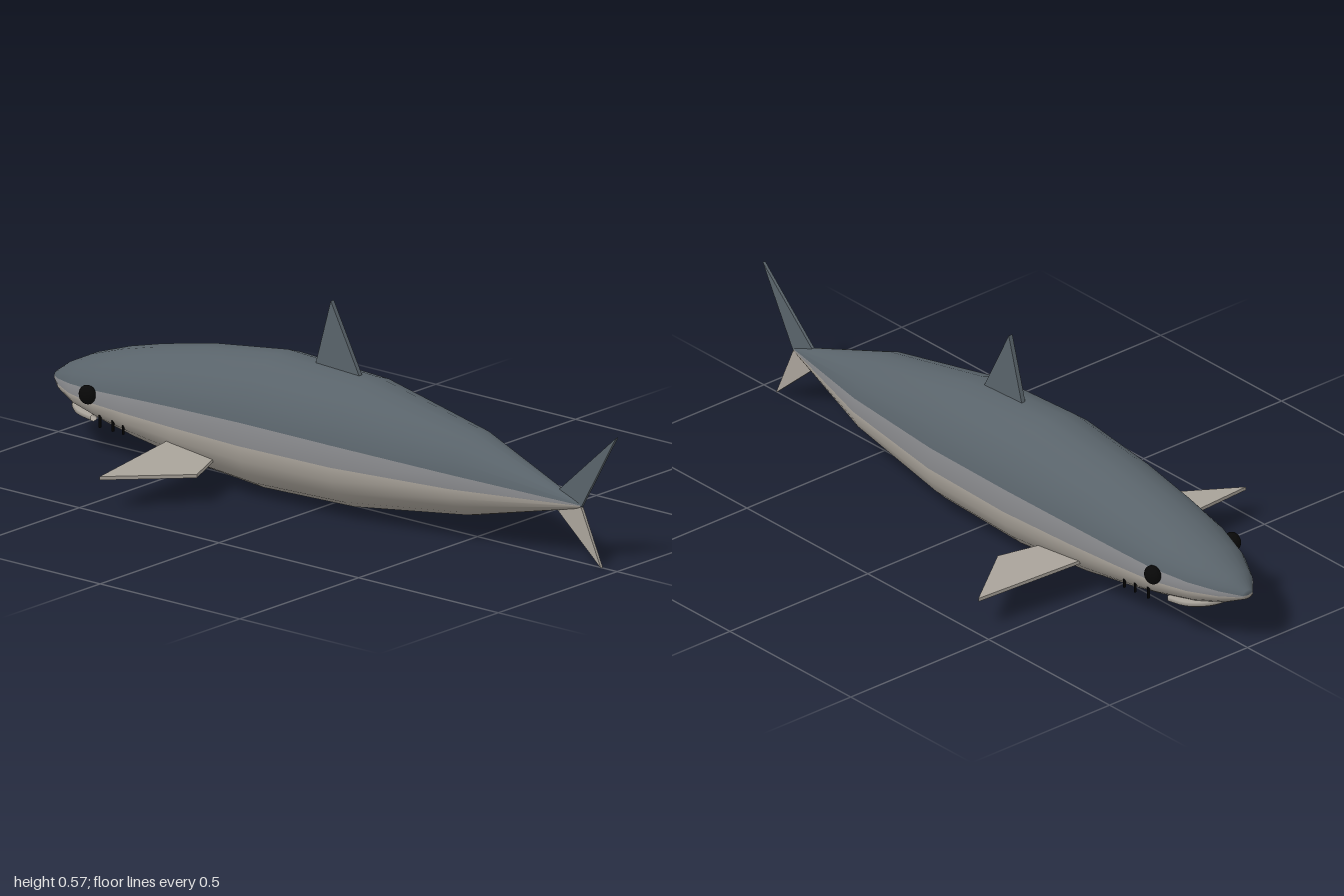
import * as THREE from 'three';

const paint = (color) => new THREE.MeshStandardMaterial({ color, side: THREE.DoubleSide });
const slate = paint(0x59636a), flankGrey = paint(0x86878a), pale = paint(0xa9a39a), black = paint(0x080808);

const AXIS_Y = 0.162; // height of the line from snout to tail
const SIDES = 22;
// Stations along the body: z, half width, height above axis, depth below axis
const STATIONS = [
  [-1, 0, 0, 0],
  [-1, 0.02, 0.016, 0.01],
  [-0.95, 0.065, 0.051, 0.034],
  [-0.87, 0.11, 0.09, 0.058],
  [-0.76, 0.143, 0.127, 0.08],
  [-0.64, 0.157, 0.158, 0.106],
  [-0.46, 0.172, 0.195, 0.136],
  [-0.2, 0.186, 0.229, 0.158],
  [0.12, 0.176, 0.215, 0.149],
  [0.5, 0.116, 0.14, 0.098],
  [0.87, 0.005, 0.008, 0.008],
  [0.87, 0, 0, 0],
];

function add(group, name, geometry, material) {
  const mesh = new THREE.Mesh(geometry, material);
  mesh.name = name;
  group.add(mesh);
  return mesh;
}

// Flat slab from an outline, centred on its own plane
function slab(points, thickness) {
  const shape = new THREE.Shape(points.map(([a, b]) => new THREE.Vector2(a, b)));
  const geometry = new THREE.ExtrudeGeometry(shape, { depth: thickness, bevelEnabled: false });
  return geometry.translate(0, 0, -thickness / 2);
}

// Upright fin from a (z, y) outline
const uprightFin = (points, thickness) => slab(points, thickness).rotateY(-Math.PI / 2);

// Side fin from an (x, z) outline, sloping down outward and rearward
function pectoralFin(side) {
  const outline = [[0.1, -0.488], [0.485, -0.44], [0.27, -0.275], [0.1, -0.335]];
  const geometry = slab(outline.map(([x, z]) => [x * side, z]), 0.01).rotateX(Math.PI / 2);
  const p = geometry.attributes.position;
  for (let i = 0; i < p.count; i++) {
    p.setY(i, p.getY(i) + 0.059 - 0.034 * Math.abs(p.getX(i)) - 0.113 * p.getZ(i));
  }
  geometry.computeVertexNormals();
  return geometry;
}

// Lofted body, split lengthwise into colour bands that share smooth normals
function buildBody(group) {
  const positions = [], all = [];
  const bands = { back: [], flanks: [], belly: [] };
  for (const [z, w, up, down] of STATIONS) {
    for (let j = 0; j < SIDES; j++) {
      const a = (j / SIDES) * Math.PI * 2;
      const s = Math.sin(a);
      positions.push(w * Math.cos(a), AXIS_Y + s * (s > 0 ? up : down), z);
    }
  }
  const half = SIDES / 2;
  for (let i = 0; i < STATIONS.length - 1; i++) {
    for (let j = 0; j < SIDES; j++) {
      const k = (j + 1) % SIDES;
      const a = i * SIDES + j, b = i * SIDES + k, c = a + SIDES, d = b + SIDES;
      const band = j >= half ? bands.belly : j === 0 || j === half - 1 ? bands.flanks : bands.back;
      band.push(a, b, c, b, d, c);
      all.push(a, b, c, b, d, c);
    }
  }
  const geometry = new THREE.BufferGeometry();
  geometry.setAttribute('position', new THREE.Float32BufferAttribute(positions, 3));
  geometry.setIndex(all);
  geometry.computeVertexNormals();
  const materials = { back: slate, flanks: flankGrey, belly: pale };
  for (const name in bands) {
    add(group, name, geometry.clone().setIndex(bands[name]), materials[name]);
  }
}

export function createModel() {
  const model = new THREE.Group();
  model.name = 'shark';

  const body = new THREE.Group();
  body.name = 'body';
  buildBody(body);
  model.add(body);

  // Upright fins
  add(model, 'dorsalFin', uprightFin([[0.09, 0.36], [-0.08, 0.36], [-0.02, 0.57]], 0.013), slate);
  add(model, 'upperTailFin', uprightFin([[0.76, 0.165], [0.875, 0.16], [1, 0.382], [0.79, 0.19]], 0.009), slate);
  add(model, 'lowerTailFin', uprightFin([[0.76, 0.155], [0.79, 0.135], [0.945, 0], [0.875, 0.158]], 0.009), pale);

  // Mouth: a flattened lip curving under the snout
  const lip = new THREE.CatmullRomCurve3([
    [-0.098, 0.105, -0.79], [-0.085, 0.109, -0.85], [-0.045, 0.117, -0.9], [0, 0.122, -0.915],
    [0.045, 0.117, -0.9], [0.085, 0.109, -0.85], [0.098, 0.105, -0.79],
  ].map((p) => new THREE.Vector3(...p)));
  add(model, 'mouth', new THREE.TubeGeometry(lip, 24, 0.012, 6), pale);

  for (const side of [1, -1]) {
    const label = side > 0 ? 'left' : 'right';
    add(model, `${label}PectoralFin`, pectoralFin(side), pale);

    const eye = add(model, `${label}Eye`, new THREE.SphereGeometry(0.027, 16, 12), black);
    eye.scale.x = 0.75;
    eye.position.set(side * 0.145, 0.185, -0.773);

    // Thin gill slits behind the eye
    [-0.65, -0.69, -0.74].forEach((z, i) => {
      const gill = add(model, `${label}Gill${i + 1}`, new THREE.BoxGeometry(0.006, 0.036, 0.004), black);
      gill.position.set(side * (0.139 - 0.004 * i), 0.112, z);
    });
  }

  return model;
}
